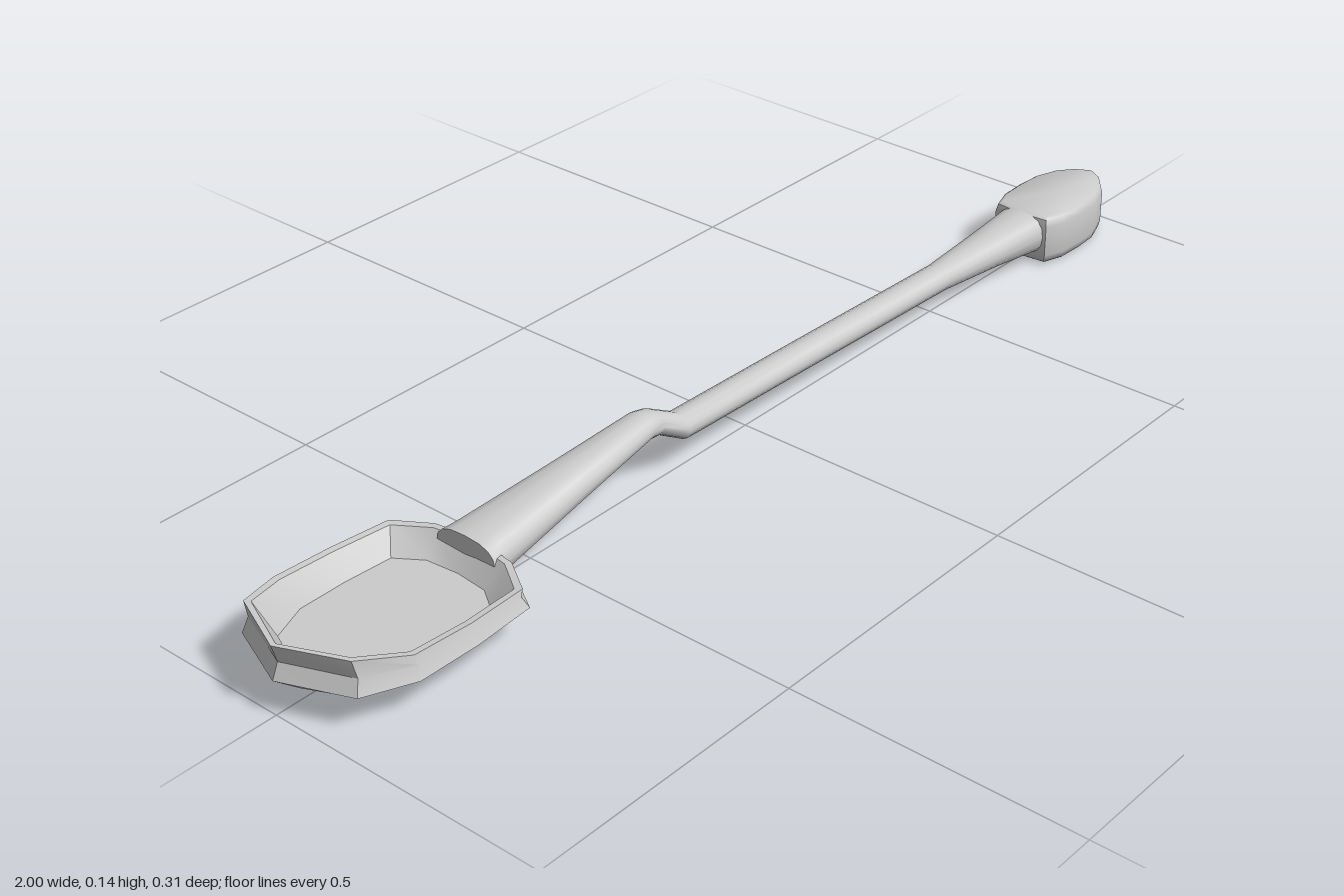
import * as THREE from 'three';
import { toCreasedNormals } from 'three/addons/utils/BufferGeometryUtils.js';

const material = new THREE.MeshStandardMaterial({ color: 0xcccccc });

// Skin a list of closed rings and cap both ends.
function loft(name, rings, crease) {
  const n = rings[0].length, pos = rings.flat(2), index = [];
  for (let i = 0; i < rings.length - 1; i++) {
    for (let j = 0; j < n; j++) {
      const a = i * n + j, b = i * n + (j + 1) % n;
      index.push(a, b, a + n, b, b + n, a + n);
    }
  }
  [0, rings.length - 1].forEach((r, end) => {
    const c = pos.length / 3;
    for (let k = 0; k < 3; k++) pos.push(rings[r].reduce((s, p) => s + p[k], 0) / n);
    for (let j = 0; j < n; j++) {
      const a = r * n + j, b = r * n + (j + 1) % n;
      if (end) index.push(c, a, b); else index.push(c, b, a);
    }
  });
  const g = new THREE.BufferGeometry();
  g.setAttribute('position', new THREE.Float32BufferAttribute(pos, 3));
  g.setIndex(index);
  const mesh = new THREE.Mesh(toCreasedNormals(g, crease), material);
  mesh.name = name;
  return mesh;
}

// Mirror a half outline [x, z, lift] across z = 0.
const mirror = (half) => [...half, ...half.slice(1, -1).reverse().map(([x, z, l]) => [x, -z, l])];

// Stack scaled copies of an outline; each level is [scaleX, scaleZ, y, lift].
const stack = (outline, cx, levels) => levels.map(([sx, sz, y, k]) =>
  outline.map(([x, z, l = 0]) => [cx + (x - cx) * sx, y + l * k, z * sz]));

export function createModel() {
  const model = new THREE.Group();
  model.name = 'spoon';

  // Bowl: underside, flange, groove, raised rim, inner wall and floor
  const bowlOutline = mirror([
    [-1, 0, 0.03], [-0.953, 0.118, 0.03], [-0.87, 0.155, 0.01], [-0.76, 0.156, 0.004],
    [-0.65, 0.148, 0], [-0.612, 0.085, 0], [-0.605, 0, 0.006],
  ]);
  model.add(loft('bowl', stack(bowlOutline, -0.8, [
    [0.78, 0.68, 0.021, 0],
    [1, 1, 0.058, 0],
    [0.94, 0.95, 0.078, 0.2],
    [0.985, 0.93, 0.087, 0.95],
    [0.94, 0.86, 0.086, 0.95],
    [0.78, 0.7, 0.05, 0],
  ]), 0.45));

  // Handle: [x, bottom, top, half width, squareness power]
  const sections = [
    [-0.63, 0.038, 0.107, 0.06, 0.75], [-0.6, 0.038, 0.109, 0.058, 0.8],
    [-0.42, 0.066, 0.124, 0.043, 0.9], [-0.25, 0.093, 0.138, 0.03, 1],
    [-0.225, 0.09, 0.133, 0.028, 1], [-0.165, 0.054, 0.1, 0.028, 1],
    [0.18, 0.045, 0.092, 0.028, 1], [0.52, 0.035, 0.083, 0.028, 1],
    [0.66, 0.026, 0.087, 0.04, 0.9], [0.78, 0.015, 0.091, 0.05, 0.75],
    [0.86, 0.01, 0.09, 0.055, 0.7],
  ];
  const bend = (v, p) => Math.sign(v) * Math.abs(v) ** p;
  model.add(loft('handle', sections.map(([x, lo, hi, w, p]) =>
    Array.from({ length: 16 }, (_, j) => {
      const t = j / 16 * Math.PI * 2;
      return [x, (lo + hi) / 2 + (hi - lo) / 2 * bend(Math.cos(t), p), w * bend(Math.sin(t), p)];
    })), 0.7));

  // Rounded grip at the handle's end
  const gripOutline = mirror([
    [0.765, 0], [0.77, 0.055], [0.81, 0.069], [0.86, 0.071], [0.91, 0.068],
    [0.955, 0.052], [0.985, 0.027], [1, 0],
  ]);
  model.add(loft('gripEnd', stack(gripOutline, 0.88, [
    [0.9, 0.87, 0, 0], [0.97, 0.95, 0.005, 0], [1, 1, 0.018, 0],
    [1, 1, 0.075, 0], [0.97, 0.95, 0.088, 0], [0.9, 0.87, 0.092, 0],
  ]), 0.8));

  return model;
}
